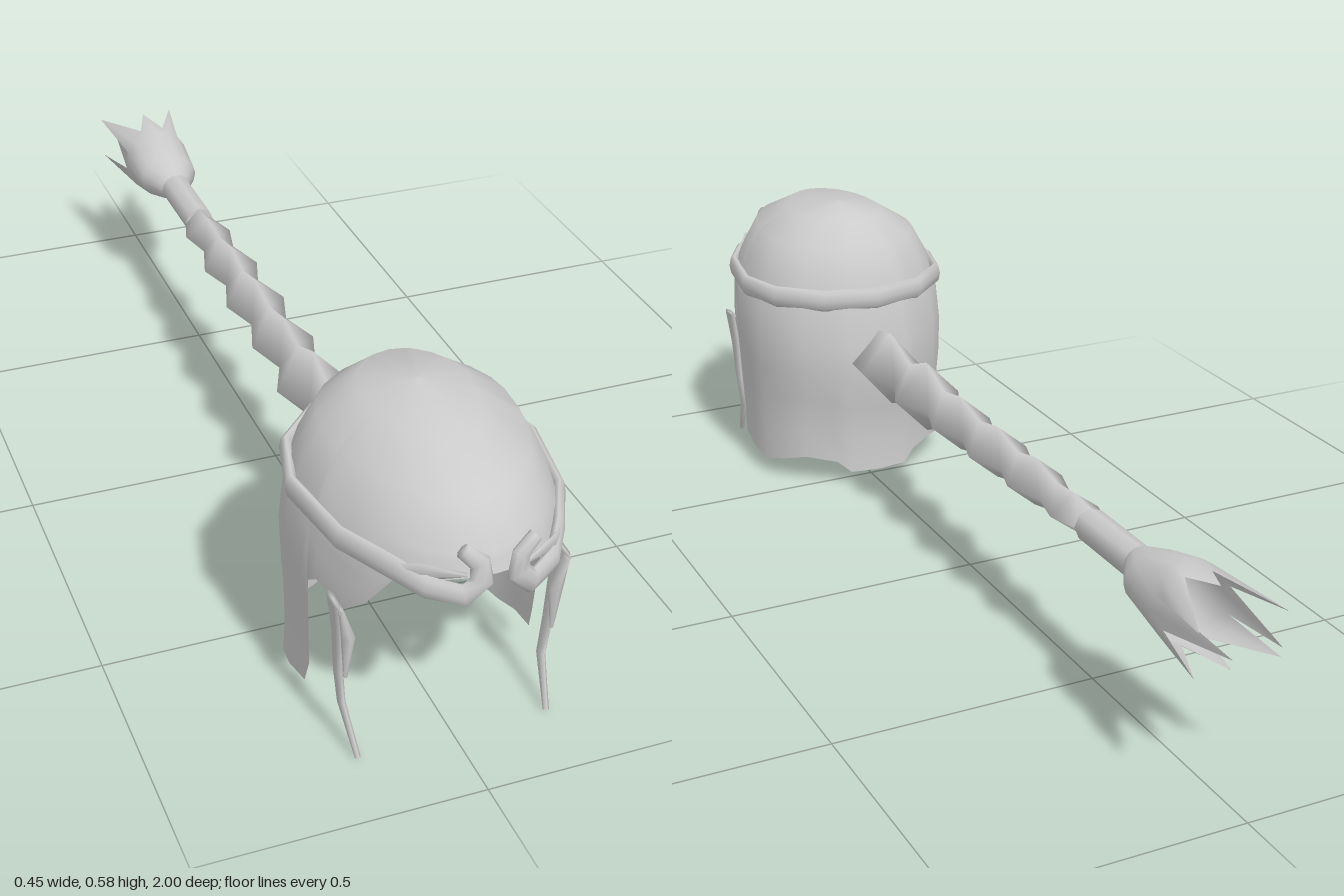
import * as THREE from 'three';

const MAT = new THREE.MeshStandardMaterial({ color: 0xcccccc, side: THREE.DoubleSide });
const V = (x, y, z) => new THREE.Vector3(x, y, z);
const rad = THREE.MathUtils.degToRad;
const CENTRE_Z = 0.66;

function build(name, points, index) {
  const g = new THREE.BufferGeometry().setFromPoints(points);
  g.setIndex(index);
  g.computeVertexNormals();
  const m = new THREE.Mesh(g, MAT);
  m.name = name;
  return m;
}

// Sweep elliptical rings along stations [x, y, z, w, h]; ref gives the h direction.
function loft(name, stations, sides, ref, caps = true) {
  const pts = [], idx = [], n = stations.length;
  const c = stations.map(s => V(s[0], s[1], s[2]));
  stations.forEach(([, , , w, h], i) => {
    const t = c[Math.min(i + 1, n - 1)].clone().sub(c[Math.max(i - 1, 0)]).normalize();
    const s = t.clone().cross(ref(c[i])).normalize();
    const u = s.clone().cross(t);
    for (let j = 0; j < sides; j++) {
      const a = j / sides * Math.PI * 2;
      pts.push(c[i].clone().addScaledVector(s, Math.cos(a) * w).addScaledVector(u, Math.sin(a) * h));
    }
  });
  for (let i = 0; i < n - 1; i++) for (let j = 0; j < sides; j++) {
    const k = (j + 1) % sides, p = i * sides, q = p + sides;
    idx.push(p + j, q + j, p + k, q + j, q + k, p + k);
  }
  if (caps) {
    const a = pts.length, last = (n - 1) * sides;
    pts.push(c[0], c[n - 1]);
    for (let j = 0; j < sides; j++) {
      const k = (j + 1) % sides;
      idx.push(a, j, k, a + 1, last + k, last + j);
    }
  }
  return build(name, pts, idx);
}
const radial = p => V(p.x, 0, p.z - CENTRE_Z).normalize();
const mirror = s => s.map(([x, ...r]) => [-x, ...r]);

// Head outline by height: [y, half width, front z, back z]
const PROFILE = [
  [0.575, 0, 0.66, 0.66], [0.56, 0.09, 0.82, 0.545], [0.515, 0.16, 0.92, 0.495],
  [0.44, 0.2, 0.965, 0.457], [0.4, 0.212, 0.98, 0.45], [0.32, 0.22, 0.975, 0.437],
  [0.25, 0.216, 0.965, 0.43], [0.13, 0.209, 0.95, 0.455], [0.02, 0.212, 0.95, 0.45],
];
function headPoint(deg, y) {
  let i = 0;
  while (i < PROFILE.length - 2 && y < PROFILE[i + 1][0]) i++;
  const a = PROFILE[i], b = PROFILE[i + 1], f = (a[0] - y) / (a[0] - b[0]);
  const [, w, zf, zb] = a.map((v, k) => v + (b[k] - v) * f);
  const s = Math.sin(rad(deg)), c = Math.cos(rad(deg));
  return V(w * s, y, CENTRE_Z + c * (c > 0 ? zf - CENTRE_Z : CENTRE_Z - zb));
}

// Hair shell: a dome, then a skirt cut to the hairline [angle from front, edge y]
function hairCap() {
  const half = [[0, 0.413], [14, 0.41], [28, 0.4], [40, 0.385], [49, 0.32], [58, 0.28],
    [71, 0.3], [76, 0.28], [76.5, 0.1], [79, 0.055], [92, 0.042], [106, 0.03], [122, 0.045],
    [136, 0.058], [155, 0.05], [163, 0.026], [180, 0.026]];
  const cols = [...half, ...half.slice(1, -1).reverse().map(([a, y]) => [360 - a, y])];
  const dome = [0.575, 0.56, 0.515, 0.455], skirt = 6, rows = dome.length + skirt;
  const pts = [], idx = [], n = cols.length;
  for (let r = 0; r < rows; r++) for (const [a, edge] of cols) {
    const f = (r - dome.length + 1) / skirt;
    pts.push(headPoint(a, r < dome.length ? dome[r] : 0.455 + (edge - 0.455) * f));
  }
  for (let r = 0; r < rows - 1; r++) for (let j = 0; j < n; j++) {
    const k = (j + 1) % n, p = r * n, q = p + n;
    if (r > 0) idx.push(p + j, q + k, p + k);
    idx.push(p + j, q + j, q + k);
  }
  return build('hairCap', pts, idx);
}

// Headband running round the back, with a curl at each front end
function headband() {
  const curl = [[0.06, 0.473, 0.978, 0.013, 0.01], [0.034, 0.45, 0.985, 0.017, 0.01],
    [0.03, 0.418, 0.988, 0.021, 0.011], [0.055, 0.393, 0.985, 0.022, 0.011],
    [0.105, 0.4, 0.955, 0.021, 0.011]];
  const ring = [];
  for (const a of [42, 62, 90, 120, 150, 180, 210, 240, 270, 298, 318]) {
    const c = Math.cos(rad(a));
    ring.push([0.212 * Math.sin(rad(a)), 0.413 - 0.005 * c,
      CENTRE_Z + c * (c > 0 ? 0.32 : 0.21), 0.023, 0.011]);
  }
  return loft('headband', [...curl, ...ring, ...mirror(curl).reverse()], 8, radial);
}

// Braid of swelling, diamond-section links: [z, half width, half height]
function braid() {
  const links = [[0.46, 0.06, 0.062], [0.38, 0.065, 0.078], [0.28, 0.036, 0.043], [0.2, 0.07, 0.073],
    [0.12, 0.036, 0.04], [0.04, 0.062, 0.055], [-0.04, 0.036, 0.035], [-0.12, 0.06, 0.051],
    [-0.2, 0.034, 0.031], [-0.27, 0.056, 0.047], [-0.35, 0.032, 0.03], [-0.42, 0.048, 0.036],
    [-0.49, 0.027, 0.027]];
  return loft('braid', links.map(([z, w, h]) => [0, 0.283 - (z - 0.38) * 0.01, z, w, h]),
    4, () => V(0, 1, 0));
}

// Flared tuft ending in eight points
function braidTuft() {
  const tips = [[0.045, 0.005, -1], [0.082, 0.04, -0.96], [0, 0.07, -0.89], [-0.082, 0.04, -0.96],
    [-0.045, 0.005, -1], [-0.08, -0.045, -0.95], [0, -0.058, -0.93], [0.08, -0.045, -0.95]];
  const rings = [[-0.645, 0.03, 0.03], [-0.7, 0.062, 0.047], [-0.79, 0.07, 0.073]];
  const pts = [], idx = [], n = 16;
  for (const [z, w, h] of rings) for (let j = 0; j < n; j++) {
    const a = j / n * Math.PI * 2;
    pts.push(V(Math.cos(a) * w, 0.293 + Math.sin(a) * h, z));
  }
  for (let j = 0; j < n; j++) {
    const a = j / n * Math.PI * 2, t = tips[j / 2];
    pts.push(t ? V(t[0], 0.293 + t[1], t[2])
      : V(Math.cos(a) * 0.066, 0.293 + Math.sin(a) * 0.066, -0.825));
  }
  for (let r = 0; r < rings.length; r++) for (let j = 0; j < n; j++) {
    const k = (j + 1) % n, p = r * n, q = p + n;
    idx.push(p + j, q + j, p + k, q + j, q + k, p + k);
  }
  return build('braidTuft', pts, idx);
}

export function createModel() {
  const model = new THREE.Group();
  model.name = 'braidedHair';
  model.add(hairCap(), headband(), braid(), braidTuft());

  const tie = new THREE.Mesh(new THREE.CylinderGeometry(0.031, 0.031, 0.175, 8), MAT);
  tie.name = 'braidTie';
  tie.rotation.x = Math.PI / 2;
  tie.position.set(0, 0.291, -0.565);
  model.add(tie);

  // Loose strands, mirrored to both sides
  const longLock = [[0.2, 0.3, 0.818, 0.03, 0.006], [0.191, 0.23, 0.815, 0.02, 0.007],
    [0.187, 0.15, 0.812, 0.014, 0.007], [0.18, 0.08, 0.812, 0.013, 0.006], [0.17, 0, 0.864, 0.006, 0.005]];
  const shortLock = [[0.197, 0.295, 0.835, 0.016, 0.005], [0.182, 0.235, 0.838, 0.012, 0.012],
    [0.183, 0.15, 0.835, 0.002, 0.003]];
  const browTuft = [[0.15, 0.4, 0.895, 0.012, 0.004], [0.11, 0.423, 0.945, 0.016, 0.005],
    [0.05, 0.425, 0.978, 0.004, 0.003]];
  for (const [side, f] of [['left', s => s], ['right', mirror]]) {
    model.add(
      loft(side + 'LongLock', f(longLock), 6, () => V(1, 0, 0)),
      loft(side + 'ShortLock', f(shortLock), 6, () => V(1, 0, 0)),
      loft(side + 'BrowTuft', f(browTuft), 6, radial));
  }
  return model;
}
